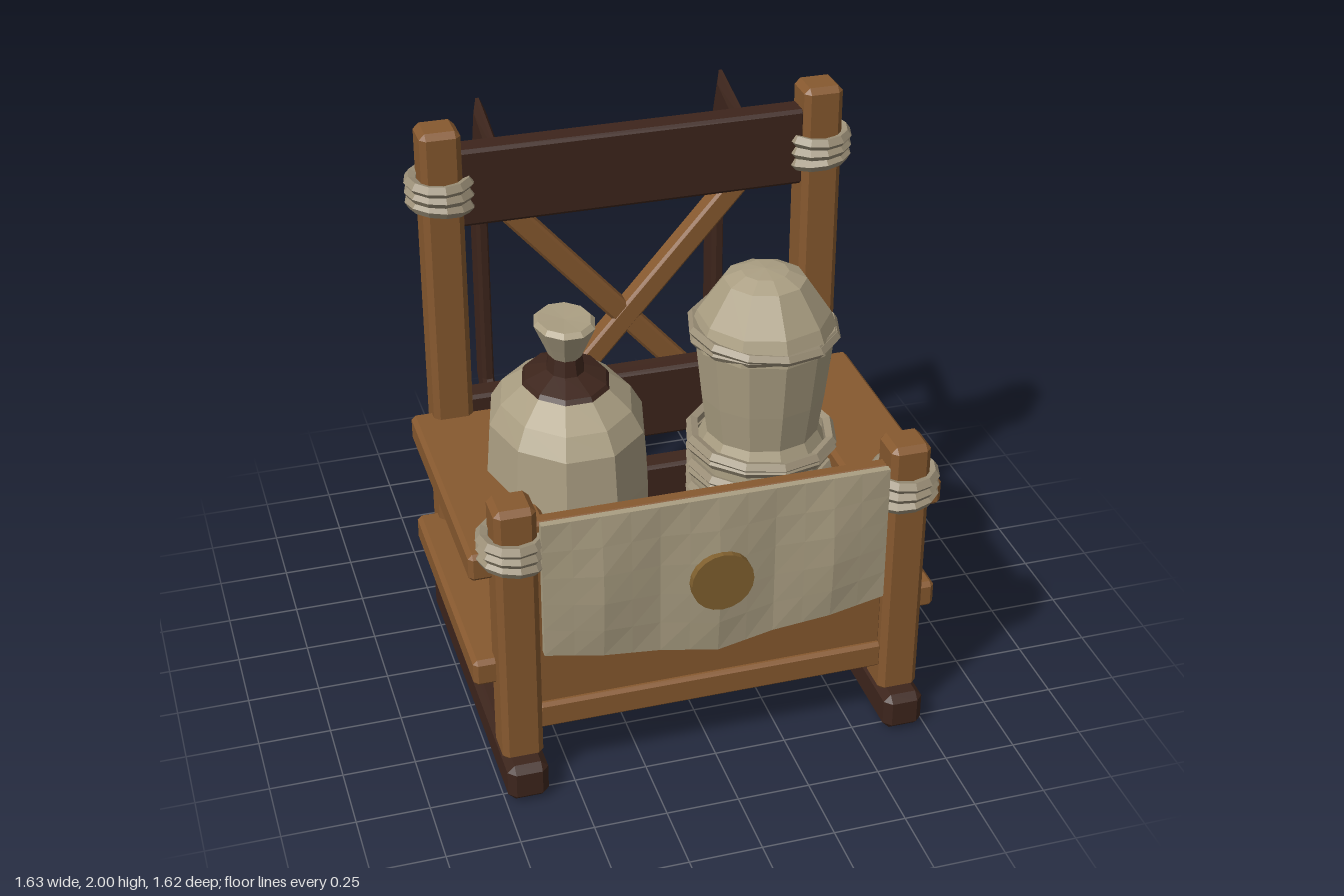
import * as THREE from 'three';
import { ConvexGeometry } from 'three/addons/geometries/ConvexGeometry.js';

const mat = (color, side = THREE.FrontSide) => new THREE.MeshStandardMaterial({ color, flatShading: true, side });
const WOOD = mat(0x87592f);
const DARK = mat(0x3d251c);
const CLOTH = mat(0xaa9e82, THREE.DoubleSide);
const ROPE = mat(0x9c9078);
const GOLD = mat(0x80602f);

export function createModel() {
  const root = new THREE.Group();

  const add = (name, geometry, material, x = 0, y = 0, z = 0) => {
    const mesh = new THREE.Mesh(geometry, material);
    mesh.name = name;
    mesh.position.set(x, y, z);
    root.add(mesh);
    return mesh;
  };

  // Box with every edge and corner chamfered
  const chamferBox = (w, h, d, c) => {
    const points = [];
    for (const sx of [-1, 1]) for (const sy of [-1, 1]) for (const sz of [-1, 1]) {
      for (let k = 0; k < 3; k++) {
        const cut = [c, c, c];
        cut[k] = 0;
        points.push(new THREE.Vector3(sx * (w / 2 - cut[0]), sy * (h / 2 - cut[1]), sz * (d / 2 - cut[2])));
      }
    }
    return new ConvexGeometry(points);
  };

  // Timber given by its minimum and maximum on each axis
  const timber = (name, material, x0, x1, y0, y1, z0, z1, c = 0.012) =>
    add(name, chamferBox(x1 - x0, y1 - y0, z1 - z0, c), material, (x0 + x1) / 2, (y0 + y1) / 2, (z0 + z1) / 2);

  // Slightly irregular rope loop
  const ropeRing = (name, x, y, z, radius, tube, tiltX, tiltZ, sides = 12) => {
    const g = new THREE.TorusGeometry(radius, tube, 5, sides);
    g.rotateX(Math.PI / 2);
    const ring = add(name, g, ROPE, x, y, z);
    ring.rotation.set(tiltX, 0, tiltZ);
    return ring;
  };

  const lathe = (profile, sides) =>
    new THREE.LatheGeometry(profile.map(([r, y]) => new THREE.Vector2(r, y)), sides);

  // Skids, posts, side shelves and post lashings
  for (const s of [-1, 1]) {
    const x = s * 0.67;
    timber('skid', DARK, x - 0.07, x + 0.07, 0, 0.14, -0.4, 0.81, 0.025);
    timber('backPost', WOOD, x - 0.07, x + 0.07, 0.12, 2, -0.33, -0.19, 0.02);
    timber('frontPost', WOOD, x - 0.07, x + 0.07, 0.12, 1.11, 0.6, 0.74, 0.02);
    const shelfX = s * 0.667;
    for (const y of [0.45, 0.87]) {
      timber('sideShelf', WOOD, shelfX - 0.147, shelfX + 0.147, y - 0.05, y + 0.05, -0.26, 0.67, 0.015);
    }
    for (const [y, z] of [[1.77, -0.258], [0.94, 0.67]]) {
      for (let i = -1; i <= 1; i++) {
        ropeRing('postLashing', x, y + i * 0.042, z, 0.098, 0.023, 0.06 * i, s * (0.06 - 0.05 * i));
      }
    }
  }

  // Floor slats
  for (const [z0, z1] of [[-0.3, 0.01], [0.04, 0.37], [0.4, 0.66]]) {
    timber('floorSlat', WOOD, -0.64, 0.64, 0.22, 0.32, z0, z1, 0.02);
  }

  // Front wall and its sill
  timber('frontPanel', WOOD, -0.61, 0.61, 0.3, 1.03, 0.64, 0.7);
  timber('frontSill', WOOD, -0.61, 0.61, 0.22, 0.32, 0.62, 0.72);

  // Back boards
  timber('backSill', WOOD, -0.61, 0.61, 0.22, 0.32, -0.32, -0.2);
  timber('lowerBackBoard', DARK, -0.61, 0.61, 0.32, 0.57, -0.31, -0.215);
  timber('middleBackBoard', DARK, -0.61, 0.61, 0.7, 0.98, -0.31, -0.215);
  timber('topBackBoard', DARK, -0.61, 0.61, 1.64, 1.92, -0.31, -0.215);

  // Crossed braces
  for (const s of [-1, 1]) {
    const brace = add('crossBrace', chamferBox(0.08, 1.37, 0.078 - (s > 0 ? 0.004 : 0), 0.01), WOOD, 0, 1.14, -0.372);
    brace.rotation.z = s * 0.72;
  }

  // Carrying straps: hexagonal section swept along outer and inner outlines (z, y)
  const outer = [[-0.34, 1.83], [-0.66, 1.91], [-0.81, 1.47], [-0.81, 0.75], [-0.56, 0.42], [-0.33, 0.5]];
  const inner = [[-0.4, 1.7], [-0.55, 1.78], [-0.64, 1.46], [-0.64, 0.79], [-0.49, 0.57], [-0.35, 0.63]];
  const section = [[0, 0.006], [0.3, 0.022], [0.85, 0.022], [1, 0.012], [1, -0.012], [0.85, -0.022], [0.3, -0.022], [0, -0.006]];
  const strapGeometry = () => {
    const pos = [], index = [], n = section.length;
    outer.forEach((o, i) => section.forEach(([t, x]) => {
      pos.push(x, o[1] + (inner[i][1] - o[1]) * t, o[0] + (inner[i][0] - o[0]) * t);
    }));
    for (let i = 0; i < outer.length - 1; i++) for (let j = 0; j < n; j++) {
      const a = i * n + j, b = i * n + (j + 1) % n;
      index.push(a, b, a + n, b, b + n, a + n);
    }
    const last = (outer.length - 1) * n;
    for (let j = 1; j < n - 1; j++) index.push(0, j + 1, j, last, last + j, last + j + 1);
    const g = new THREE.BufferGeometry();
    g.setAttribute('position', new THREE.Float32BufferAttribute(pos, 3));
    g.setIndex(index);
    g.computeVertexNormals();
    return g;
  };
  const strapMaterial = mat(0x3d251c, THREE.DoubleSide);
  for (const x of [-0.445, 0.445]) {
    add('carryStrap', strapGeometry(), strapMaterial, x);
    add('strapPeg', new THREE.BoxGeometry(0.18, 0.045, 0.045), WOOD, x, 0.61, -0.615);
  }

  // Tied sack, deeper than wide
  const sackPart = (name, profile, material) => {
    const g = lathe(profile, 10);
    g.rotateY(Math.PI / 10);
    add(name, g, material, -0.36, 0, 0.18).scale.z = 1.24;
  };
  sackPart('sackBody', [[0, 0.32], [0.19, 0.32], [0.255, 0.36], [0.28, 0.6], [0.28, 0.9], [0.265, 1.1], [0.225, 1.17], [0.13, 1.25]], CLOTH);
  sackPart('sackTie', [[0.15, 1.235], [0.14, 1.25], [0.065, 1.28], [0.055, 1.345], [0, 1.345]], DARK);
  sackPart('sackKnot', [[0.05, 1.32], [0.075, 1.38], [0.105, 1.45], [0.09, 1.465], [0, 1.46]], CLOTH);

  // Covered jar wrapped in rope coils
  const jarX = 0.315, jarZ = 0.24;
  add('jarBody', lathe([[0, 0.33], [0.19, 0.33], [0.235, 0.37], [0.245, 0.6], [0.235, 0.9], [0.195, 0.98], [0.215, 1.12], [0.24, 1.34]], 12), CLOTH, jarX, 0, jarZ);
  add('jarCover', lathe([[0.25, 1.33], [0.245, 1.37], [0.225, 1.42], [0.14, 1.545], [0.08, 1.572], [0, 1.58]], 10), CLOTH, jarX, 0, jarZ);
  ropeRing('jarRimRope', jarX, 1.365, jarZ, 0.243, 0.02, 0.03, -0.05);
  ropeRing('jarRimRope', jarX, 1.345, jarZ, 0.238, 0.02, -0.05, 0.02);
  for (let i = 0; i < 6; i++) {
    for (const k of [-1, 1]) {
      ropeRing('jarCoil', jarX, 0.935 - i * 0.088 + k * 0.014, jarZ, 0.243, 0.022, 0.03 * k, 0.02 * (i % 3 - 1));
    }
  }

  // Hanging cloth with soft folds and a pointed lower edge
  const clothGeometry = new THREE.BoxGeometry(1.18, 1, 0.025, 12, 5, 1);
  const p = clothGeometry.attributes.position;
  for (let i = 0; i < p.count; i++) {
    const x = p.getX(i), v = 0.5 - p.getY(i);
    const bottom = 0.46 + 0.09 * Math.abs(x) / 0.59;
    const fold = Math.sin(v * Math.PI * 0.85) * (0.015 + 0.015 * Math.cos(x * 16));
    p.setXYZ(i, x, 1.055 + (bottom - 1.055) * v, p.getZ(i) + 0.745 + fold);
  }
  clothGeometry.computeVertexNormals();
  add('frontCloth', clothGeometry, CLOTH, -0.005);

  // Round emblem disc, left plain
  const disc = new THREE.CylinderGeometry(0.107, 0.107, 0.03, 20);
  disc.rotateX(Math.PI / 2);
  add('clothDisc', disc, GOLD, 0, 0.75, 0.785);

  return root;
}
